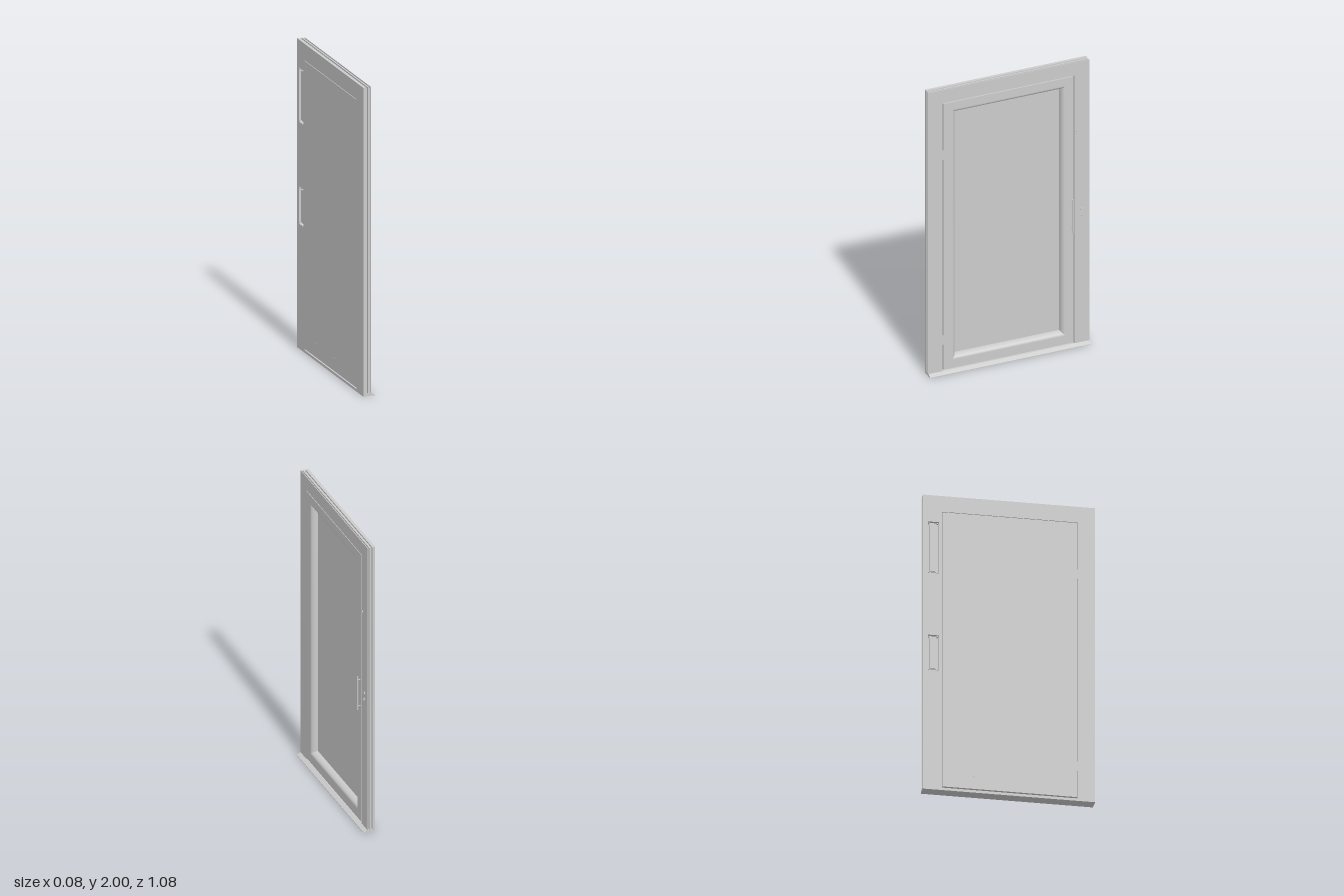
import * as THREE from 'three';

const mat = new THREE.MeshStandardMaterial({ color: 0xcccccc });

// Rectangle outline, [z0, z1, y0, y1]; shape u axis is -z
function trace(path, [z0, z1, y0, y1]) {
  path.moveTo(-z1, y0);
  path.lineTo(-z0, y0);
  path.lineTo(-z0, y1);
  path.lineTo(-z1, y1);
  path.closePath();
  return path;
}

// Flat layer of the door between x0 and x1, with rectangular openings
function slab(parent, name, rect, x0, x1, holes = []) {
  const shape = trace(new THREE.Shape(), rect);
  for (const h of holes) shape.holes.push(trace(new THREE.Path(), h));
  const geo = new THREE.ExtrudeGeometry(shape, { depth: x1 - x0, bevelEnabled: false });
  geo.translate(0, 0, x0).rotateY(Math.PI / 2);
  return add(parent, name, geo);
}

function add(parent, name, geo, x = 0, y = 0, z = 0) {
  const mesh = new THREE.Mesh(geo, mat);
  mesh.name = name;
  mesh.position.set(x, y, z);
  parent.add(mesh);
  return mesh;
}

function box(parent, name, x, y, z, w, h, d) {
  return add(parent, name, new THREE.BoxGeometry(w, h, d), x, y, z);
}

// Cylinder lying along x, starting at x
function disc(parent, name, r, len, x, y, z, sides = 20) {
  const geo = new THREE.CylinderGeometry(r, r, len, sides).rotateZ(-Math.PI / 2);
  return add(parent, name, geo, x + len / 2, y, z);
}

// Rounded moulding falling from the leaf face to the recessed panel, mitred at the corners
function moulding(parent, [z0, z1, y0, y1], width, xTop, xBottom) {
  const steps = 10;
  const group = new THREE.Group();
  group.name = 'panelMoulding';
  const corners = (i) => [
    [-z1 + i, y0 + i], [-z0 - i, y0 + i], [-z0 - i, y1 - i], [-z1 + i, y1 - i],
  ];
  for (let side = 0; side < 4; side++) {
    const pos = [], index = [];
    for (let j = 0; j <= steps; j++) {
      const a = (j / steps) * Math.PI / 2;
      const ring = corners(width * Math.sin(a));
      const x = xBottom + (xTop - xBottom) * Math.cos(a);
      pos.push(...ring[side], x, ...ring[(side + 1) % 4], x);
      if (j < steps) {
        const k = j * 2;
        index.push(k, k + 1, k + 3, k, k + 3, k + 2);
      }
    }
    const geo = new THREE.BufferGeometry();
    geo.setAttribute('position', new THREE.Float32BufferAttribute(pos, 3));
    geo.setIndex(index);
    geo.rotateY(Math.PI / 2);
    geo.computeVertexNormals();
    add(group, 'mouldingSide', geo);
  }
  parent.add(group);
}

export function createModel() {
  const door = new THREE.Group();
  door.name = 'door';

  // Frame: layered profile with two grooves around its outer edge
  const frame = new THREE.Group();
  frame.name = 'frame';
  door.add(frame);
  const full = [-0.54, 0.54, 0, 2];
  const inset = [-0.53, 0.53, 0, 1.99];
  const opening = [-0.44, 0.445, 0.017, 1.908];
  const backOpening = [-0.42, 0.43, 0.017, 1.893];
  const pockets = [[-0.51, -0.44, 1.47, 1.82], [-0.51, -0.44, 0.81, 1.05]];
  slab(frame, 'frameBack', full, -0.04, -0.02, [backOpening, ...pockets]);
  slab(frame, 'frameGroove', inset, -0.02, -0.01, [opening]);
  slab(frame, 'frameRidge', full, -0.01, 0, [opening]);
  slab(frame, 'frameGroove', inset, 0, 0.009, [opening]);
  slab(frame, 'frameFace', full, 0.009, 0.012, [opening]);

  // Lock pockets in the back of the frame
  for (const [z0, z1, y0, y1] of pockets) {
    const lock = new THREE.Group();
    lock.name = 'lockPocket';
    frame.add(lock);
    box(lock, 'lockCase', -0.025, (y0 + y1) / 2, (z0 + z1) / 2, 0.014, y1 - y0 - 0.03, 0.04);
    for (const y of [y0 + 0.008, y1 - 0.008]) {
      for (const z of [z0 + 0.008, z1 - 0.008]) disc(lock, 'pocketScrew', 0.004, 0.018, -0.038, y, z, 10);
    }
  }

  // Sill with a sloped nose
  const nose = new THREE.Shape();
  nose.moveTo(-0.04, 0);
  nose.lineTo(0.037, 0);
  nose.lineTo(0.037, 0.003);
  nose.lineTo(0.012, 0.017);
  nose.lineTo(-0.04, 0.017);
  const sillGeo = new THREE.ExtrudeGeometry(nose, { depth: 1.08, bevelEnabled: false });
  add(door, 'sill', sillGeo, 0, 0, -0.54);

  // Leaf: rebated slab with a recessed panel on the front
  const leaf = new THREE.Group();
  leaf.name = 'leaf';
  door.add(leaf);
  const field = [-0.38, 0.38, 0.085, 1.848];
  slab(leaf, 'leafFace', [-0.435, 0.44, 0.025, 1.903], -0.018, 0.012, [field]);
  slab(leaf, 'leafCore', [-0.417, 0.427, 0.025, 1.89], -0.028, -0.018, [field]);
  slab(leaf, 'leafPanel', [-0.417, 0.427, 0.025, 1.89], -0.04, -0.028);
  moulding(leaf, field, 0.026, 0.012, -0.028);

  // Drain slots low on the back
  for (const z of [-0.23, 0.07, 0.36]) box(leaf, 'drainSlot', -0.04, 0.11, z, 0.001, 0.005, 0.025);

  // Hinges in the gap
  for (const y of [0.235, 1.54]) {
    box(door, 'hinge', -0.004, y, 0.4425, 0.03, 0.065, 0.006);
    box(door, 'hingeBack', -0.03, y, 0.4285, 0.02, 0.065, 0.004);
  }

  // Pull handle
  const handle = new THREE.Group();
  handle.name = 'pullHandle';
  door.add(handle);
  add(handle, 'handleBar', new THREE.CylinderGeometry(0.004, 0.004, 0.235, 16), 0.03, 0.927, -0.425);
  for (const y of [0.835, 1.02]) disc(handle, 'handlePost', 0.003, 0.02, 0.01, y, -0.425, 12);

  // Keyholes with a swinging cover, and a small viewer above
  const lockFront = new THREE.Group();
  lockFront.name = 'keyholes';
  door.add(lockFront);
  disc(lockFront, 'lowerRosette', 0.013, 0.004, 0.012, 0.912, -0.49);
  disc(lockFront, 'lowerCylinder', 0.006, 0.003, 0.016, 0.912, -0.49);
  disc(lockFront, 'upperRosette', 0.01, 0.004, 0.012, 0.955, -0.488);
  disc(lockFront, 'coverPivot', 0.005, 0.006, 0.012, 0.958, -0.5, 12);
  box(lockFront, 'keyCover', 0.016, 0.936, -0.49, 0.002, 0.035, 0.006);
  disc(door, 'viewer', 0.008, 0.006, 0.012, 1.515, -0.46);

  return door;
}
